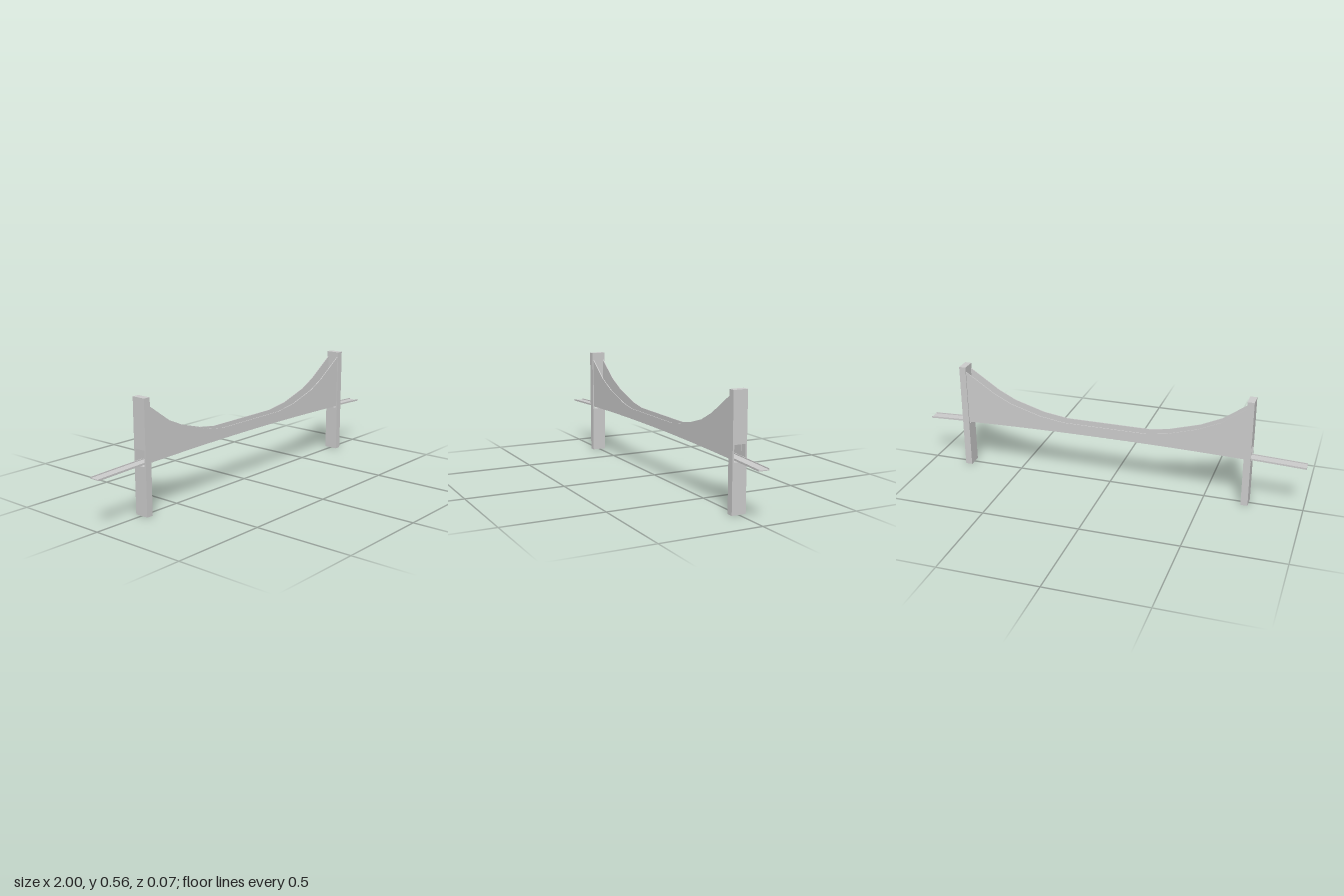
import * as THREE from 'three';

const material = new THREE.MeshStandardMaterial({ color: 0xcccccc, flatShading: true, side: THREE.DoubleSide });

// Underside of the gently arched roadway
const deckY = (x) => 0.264 - 0.023 * x * x;

function addMesh(parent, name, geometry) {
  const mesh = new THREE.Mesh(geometry, material);
  mesh.name = name;
  parent.add(mesh);
  return mesh;
}

function polygon(points) {
  return new THREE.Shape(points.map(([x, y]) => new THREE.Vector2(x, y)));
}

// Extrude a cross-section (z, y) along x between two positions
function extrudeAlongX(shape, x0, x1, steps) {
  const geometry = new THREE.ExtrudeGeometry(shape, { depth: x1 - x0, steps, bevelEnabled: false });
  geometry.rotateY(Math.PI / 2);
  geometry.translate(x0, 0, 0);
  return geometry;
}

export function createModel() {
  const bridge = new THREE.Group();
  bridge.name = 'suspensionBridge';
  const towers = [['rightTower', -0.73, -0.695], ['leftTower', 0.775, 0.81]];

  // Tall slab towers, each with an opening for the road
  const towerShape = polygon([[-0.0365, 0], [0.0365, 0], [0.0365, 0.56], [-0.0365, 0.56]]);
  towerShape.holes.push(new THREE.Path(
    [[-0.029, 0.24], [-0.029, 0.318], [0.029, 0.318], [0.029, 0.24]].map(([x, y]) => new THREE.Vector2(x, y))));
  for (const [name, x0, x1] of towers) addMesh(bridge, name, extrudeAlongX(towerShape, x0, x1, 1));

  // Thin channel-shaped deck with low kerbs, bent to the arch
  const w = 0.0275, kerb = 0.003, plate = 0.004, rise = 0.009;
  const deckShape = polygon([[-w, 0], [w, 0], [w, rise], [w - kerb, rise], [w - kerb, plate],
    [-w + kerb, plate], [-w + kerb, rise], [-w, rise]]);
  const deck = extrudeAlongX(deckShape, -1, 1, 20);
  const pos = deck.attributes.position;
  for (let i = 0; i < pos.count; i++) pos.setY(i, pos.getY(i) + deckY(pos.getX(i)));
  deck.computeVertexNormals();
  addMesh(bridge, 'deck', deck);

  // Side panels hanging from the cable line down to the deck
  const outline = [[-0.7, 0.523], [-0.57, 0.43], [-0.46, 0.38], [-0.3, 0.333], [-0.2, 0.318],
    [0.24, 0.318], [0.37, 0.337], [0.53, 0.385], [0.62, 0.43], [0.78, 0.537]];
  for (let i = 0; i <= 12; i++) {
    const x = 0.78 - (1.48 * i) / 12;
    outline.push([x, deckY(x)]);
  }
  const panelShape = polygon(outline);
  for (const [name, z] of [['frontCablePanel', 0.0275], ['backCablePanel', -0.0315]]) {
    const panel = new THREE.ExtrudeGeometry(panelShape, { depth: 0.004, bevelEnabled: false });
    addMesh(bridge, name, panel).position.z = z;
  }

  return bridge;
}
